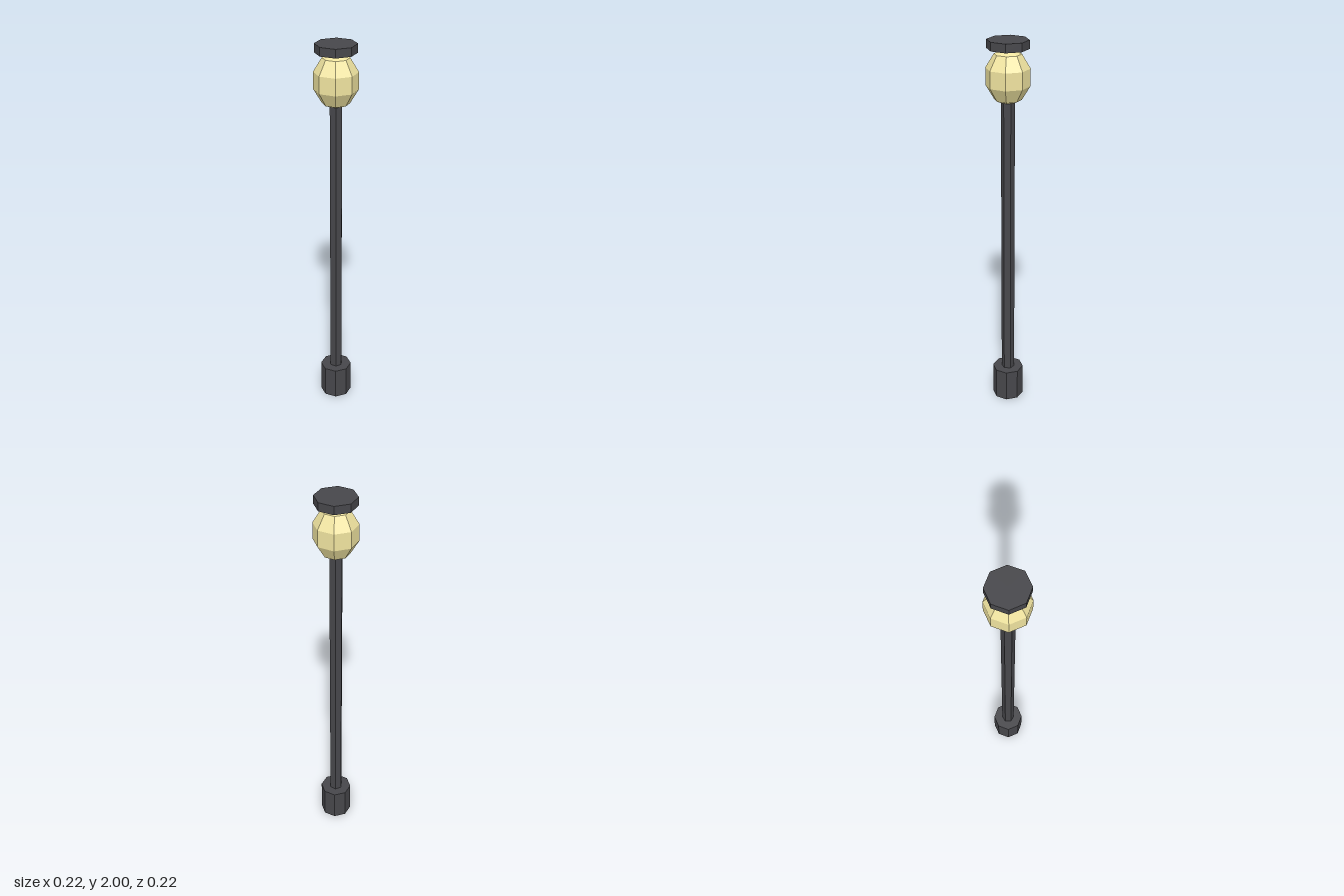
import * as THREE from 'three';

const dark = new THREE.MeshStandardMaterial({ color: 0x47474b, flatShading: true });
const glow = new THREE.MeshStandardMaterial({ color: 0xf0e4a0, flatShading: true });

export function createModel() {
  const group = new THREE.Group();
  group.name = 'streetLamp';

  // Upright prism between two heights
  const prism = (name, radius, sides, y0, y1) => {
    const mesh = new THREE.Mesh(new THREE.CylinderGeometry(radius, radius, y1 - y0, sides), dark);
    mesh.name = name;
    mesh.position.y = (y0 + y1) / 2;
    group.add(mesh);
  };

  prism('base', 0.083, 8, 0, 0.175);
  prism('pole', 0.0345, 6, 0.17, 1.71);
  prism('cap', 0.104, 8, 1.957, 2);

  // Faceted globe, slightly taller than wide
  const globe = new THREE.Mesh(new THREE.SphereGeometry(0.1155, 8, 5), glow);
  globe.name = 'globe';
  globe.scale.y = 1.2;
  globe.position.y = 1.82;
  group.add(globe);

  return group;
}
